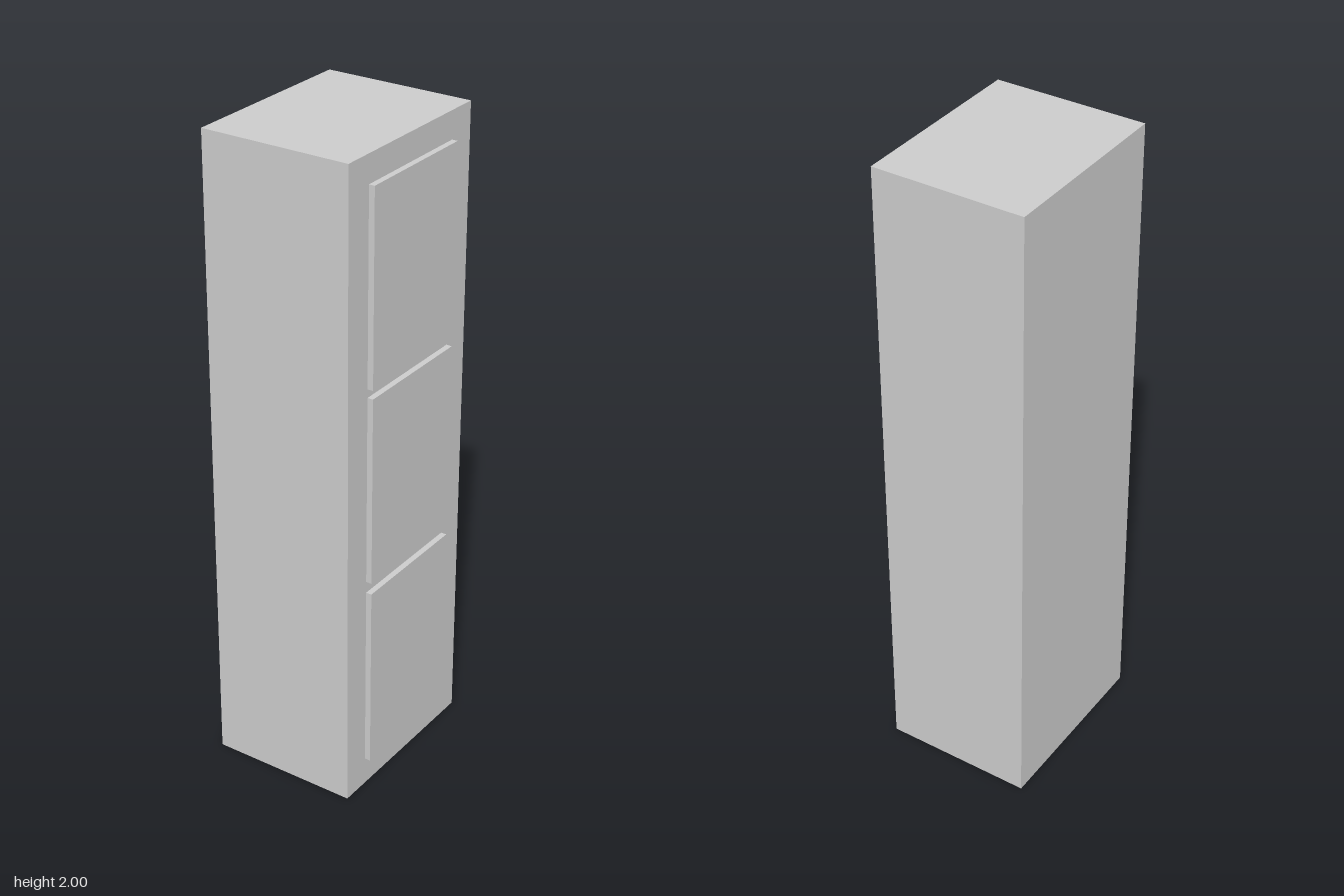
import * as THREE from 'three';

export function createModel() {
  const model = new THREE.Group();
  model.name = 'cabinet';
  const material = new THREE.MeshStandardMaterial({ color: 0xcccccc, flatShading: true });

  function addBox(name, width, height, depth, x, y, z) {
    const mesh = new THREE.Mesh(new THREE.BoxGeometry(width, height, depth), material);
    mesh.name = name;
    mesh.position.set(x, y, z);
    model.add(mesh);
  }

  // Tall carcass
  const bodyLeft = 0.225;
  const bodyRight = -0.243;
  addBox('body', bodyLeft - bodyRight, 2, 0.588, (bodyLeft + bodyRight) / 2, 1, 0);

  // Three raised panels stacked on the +x side, set slightly into the body
  const panelOuter = 0.243;
  const panelInner = 0.215;
  const panelHeight = 0.588;
  const panels = { lowerPanel: 0.09, middlePanel: 0.714, upperPanel: 1.328 };
  for (const [name, bottom] of Object.entries(panels)) {
    addBox(name, panelOuter - panelInner, panelHeight, 0.402,
      (panelOuter + panelInner) / 2, bottom + panelHeight / 2, 0);
  }

  return model;
}
